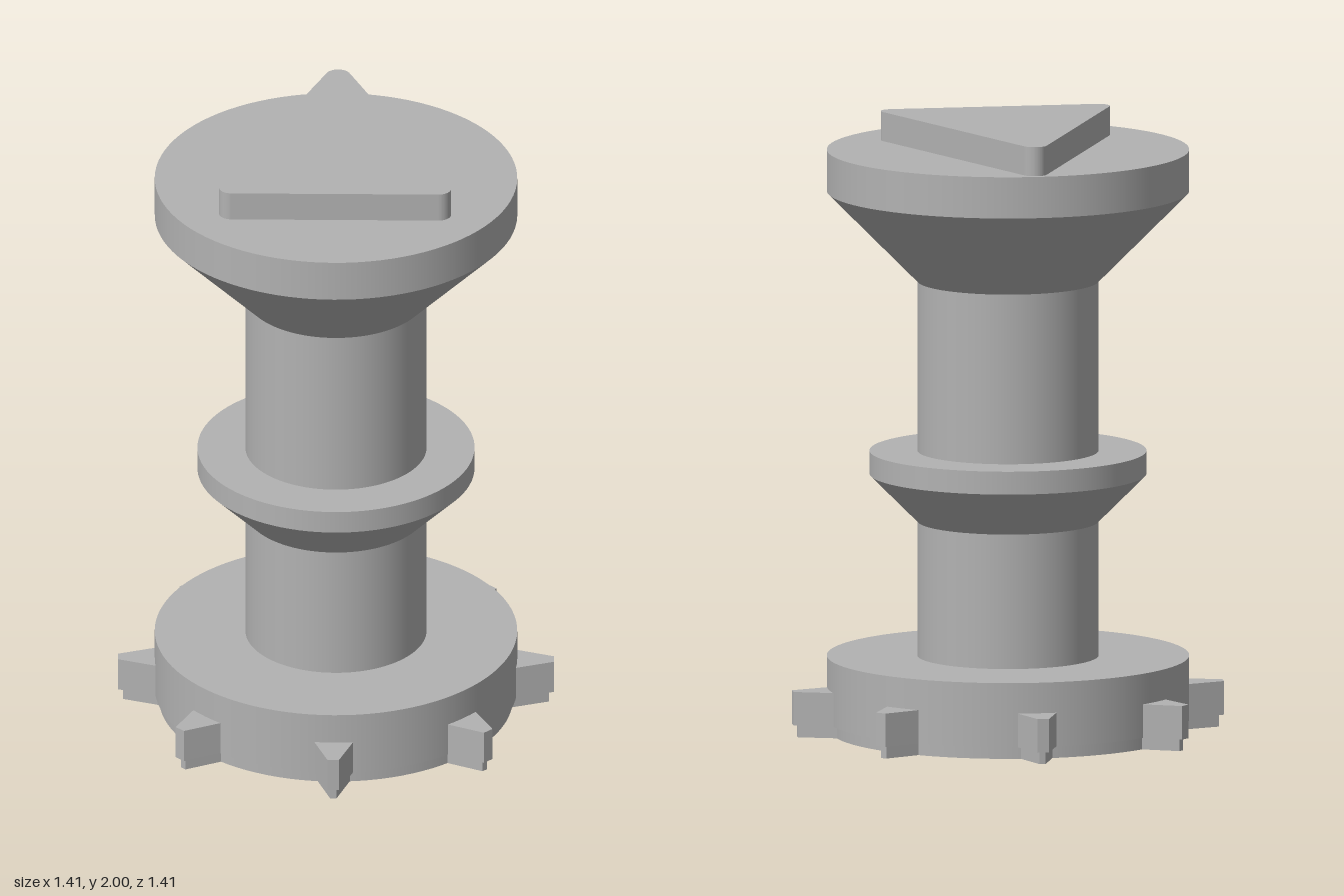
import * as THREE from 'three';

export function createModel() {
  const model = new THREE.Group();
  const grey = new THREE.MeshStandardMaterial({ color: 0xb2b2b2 });
  grey.name = 'plain grey';

  const add = (name, geometry, parent = model) => {
    const mesh = new THREE.Mesh(geometry, grey);
    mesh.name = name;
    parent.add(mesh);
    return mesh;
  };

  // Round section between two heights
  const section = (name, y0, y1, r0, r1 = r0, open = false) => {
    const g = new THREE.CylinderGeometry(r1, r0, y1 - y0, 96, 1, open);
    add(name, g.translate(0, (y0 + y1) / 2, 0));
  };

  // Upright slab from a plan outline (outline +y points to the back)
  const slab = (shape, y0, y1) =>
    new THREE.ExtrudeGeometry(shape, { depth: y1 - y0, bevelEnabled: false, curveSegments: 10 })
      .rotateX(-Math.PI / 2).translate(0, y0, 0);

  // Body, from the floor up
  section('sole', 0, 0.04, 0.572);
  section('baseDisc', 0.04, 0.25, 0.586);
  section('lowerShaft', 0.25, 0.69, 0.293, 0.293, true);
  section('collarCone', 0.69, 0.845, 0.293, 0.448, true);
  section('collarRim', 0.845, 0.92, 0.448, 0.448);
  section('upperShaft', 0.92, 1.475, 0.293, 0.293, true);
  section('headCone', 1.475, 1.77, 0.293, 0.586, true);
  section('headRim', 1.77, 1.905, 0.586);

  // Eight tapered teeth, each with a slightly smaller foot
  const toothShape = (tip, tipHalf, rootHalf) => new THREE.Shape([
    new THREE.Vector2(0.5, -rootHalf), new THREE.Vector2(tip, -tipHalf),
    new THREE.Vector2(tip, tipHalf), new THREE.Vector2(0.5, rootHalf),
  ]);
  const toothGeometry = slab(toothShape(0.705, 0.019, 0.092), 0.04, 0.15);
  const footGeometry = slab(toothShape(0.689, 0.01, 0.076), 0, 0.04);
  for (let i = 0; i < 8; i++) {
    const tooth = new THREE.Group();
    tooth.name = 'tooth';
    add('toothBlock', toothGeometry, tooth);
    add('toothFoot', footGeometry, tooth);
    tooth.rotation.y = (i * Math.PI) / 4;
    model.add(tooth);
  }

  // Rounded triangular pointer on top, aimed at the back
  const r = 0.04;
  const slope = Math.atan2(0.335, 0.78);
  const pointer = new THREE.Shape();
  pointer.absarc(0.335, -0.25, r, -Math.PI / 2, slope, false);
  pointer.absarc(0, 0.53, r, slope, Math.PI - slope, false);
  pointer.absarc(-0.335, -0.25, r, Math.PI - slope, Math.PI * 1.5, false);
  pointer.closePath();
  add('pointer', slab(pointer, 1.905, 2));

  return model;
}
